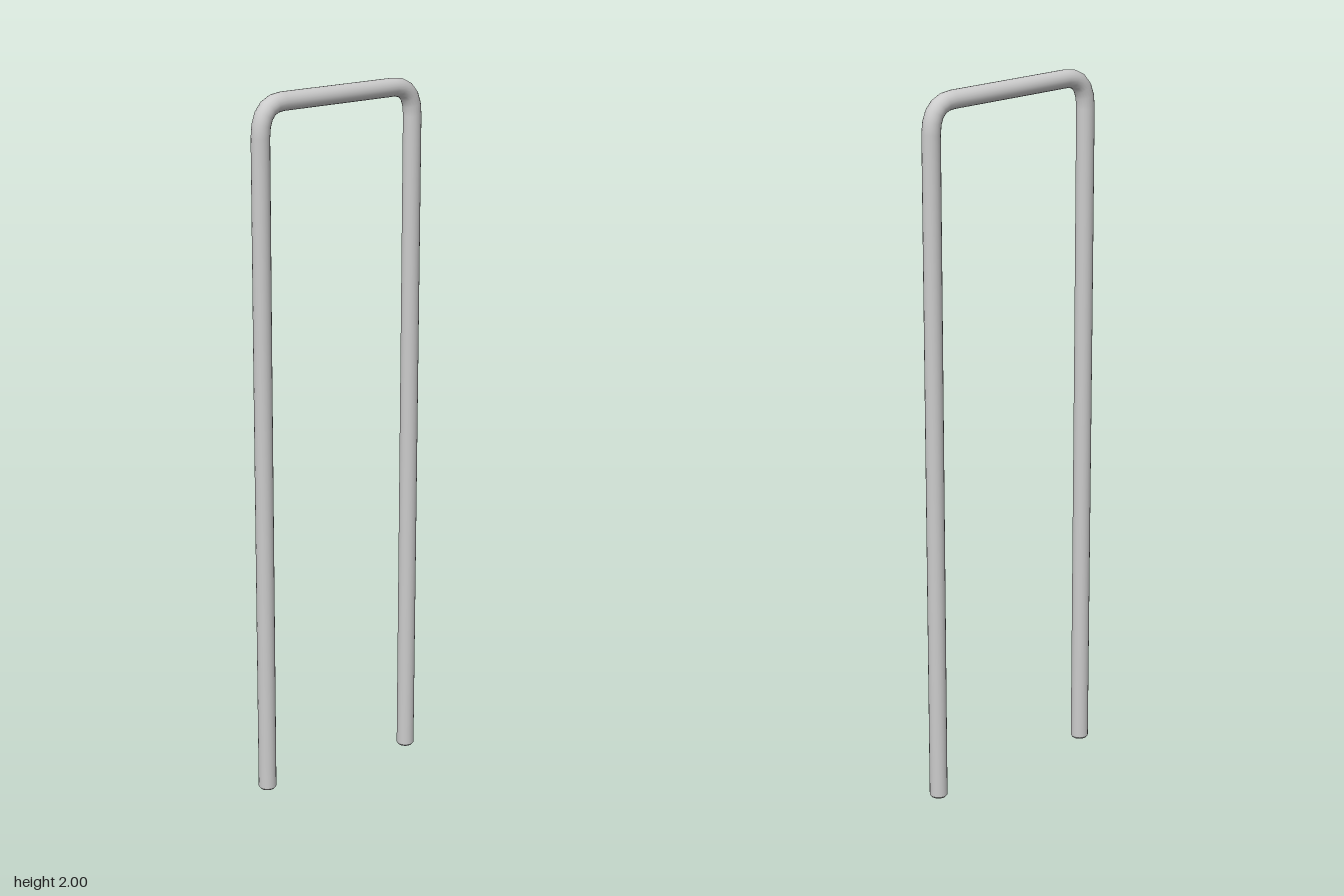
import * as THREE from 'three';

const R = 0.025, SIDES = 20;
const material = new THREE.MeshStandardMaterial({ color: 0xcccccc });

// Round section swept along a path lying close to the YZ plane, mitred at each point
function sweep(path) {
  const pos = [], index = [];
  const dir = (a, b) => b.clone().sub(a).normalize();
  path.forEach((p, i) => {
    const a = dir(path[Math.max(i - 1, 0)], path[Math.max(i, 1)]);
    const b = dir(path[Math.min(i, path.length - 2)], path[Math.min(i + 1, path.length - 1)]);
    const t = a.clone().add(b).normalize();
    const up = t.clone().cross(new THREE.Vector3(1, 0, 0)).normalize();
    const side = up.clone().cross(t);
    const mitre = 1 / Math.max(t.dot(a), 0.7);
    for (let j = 0; j < SIDES; j++) {
      const u = (j / SIDES) * Math.PI * 2;
      const v = p.clone().addScaledVector(side, R * Math.cos(u)).addScaledVector(up, R * mitre * Math.sin(u));
      pos.push(v.x, v.y, v.z);
      if (i === 0) continue;
      const k = (j + 1) % SIDES, lo = (i - 1) * SIDES, hi = i * SIDES;
      index.push(lo + j, hi + j, lo + k, lo + k, hi + j, hi + k);
    }
  });
  const g = new THREE.BufferGeometry();
  g.setAttribute('position', new THREE.Float32BufferAttribute(pos, 3));
  g.setIndex(index);
  g.computeVertexNormals();
  return g;
}

// Points of a rounded corner
function bend(from, corner, to) {
  return new THREE.QuadraticBezierCurve3(from, corner, to).getPoints(5);
}

export function createModel() {
  const group = new THREE.Group();
  const V = (x, y, z) => new THREE.Vector3(x, y, z);
  const capH = 0.005;
  const frontFoot = V(-0.005, 0.03 + capH, 0.257);
  const backFoot = V(0.003, capH, -0.26);

  // One bent rod: front leg, top bar and back leg
  const path = [
    frontFoot,
    V(0.001, 1.3, 0.262),
    ...bend(V(0.003, 1.89, 0.263), V(0.003, 1.977, 0.263), V(0.003, 1.975, 0.19)),
    ...bend(V(0.003, 1.963, -0.19), V(0.003, 1.961, -0.261), V(0.003, 1.88, -0.261)),
    backFoot,
  ];
  const rod = new THREE.Mesh(sweep(path), material);
  rod.name = 'bentRod';
  rod.material.side = THREE.DoubleSide;
  group.add(rod);

  // Slightly chamfered ends of the legs
  [['frontLegEnd', frontFoot], ['backLegEnd', backFoot]].forEach(([name, p]) => {
    const end = new THREE.Mesh(new THREE.CylinderGeometry(R, R - 0.004, capH, SIDES), material);
    end.position.set(p.x, p.y - capH / 2, p.z);
    end.name = name;
    group.add(end);
  });
  return group;
}
